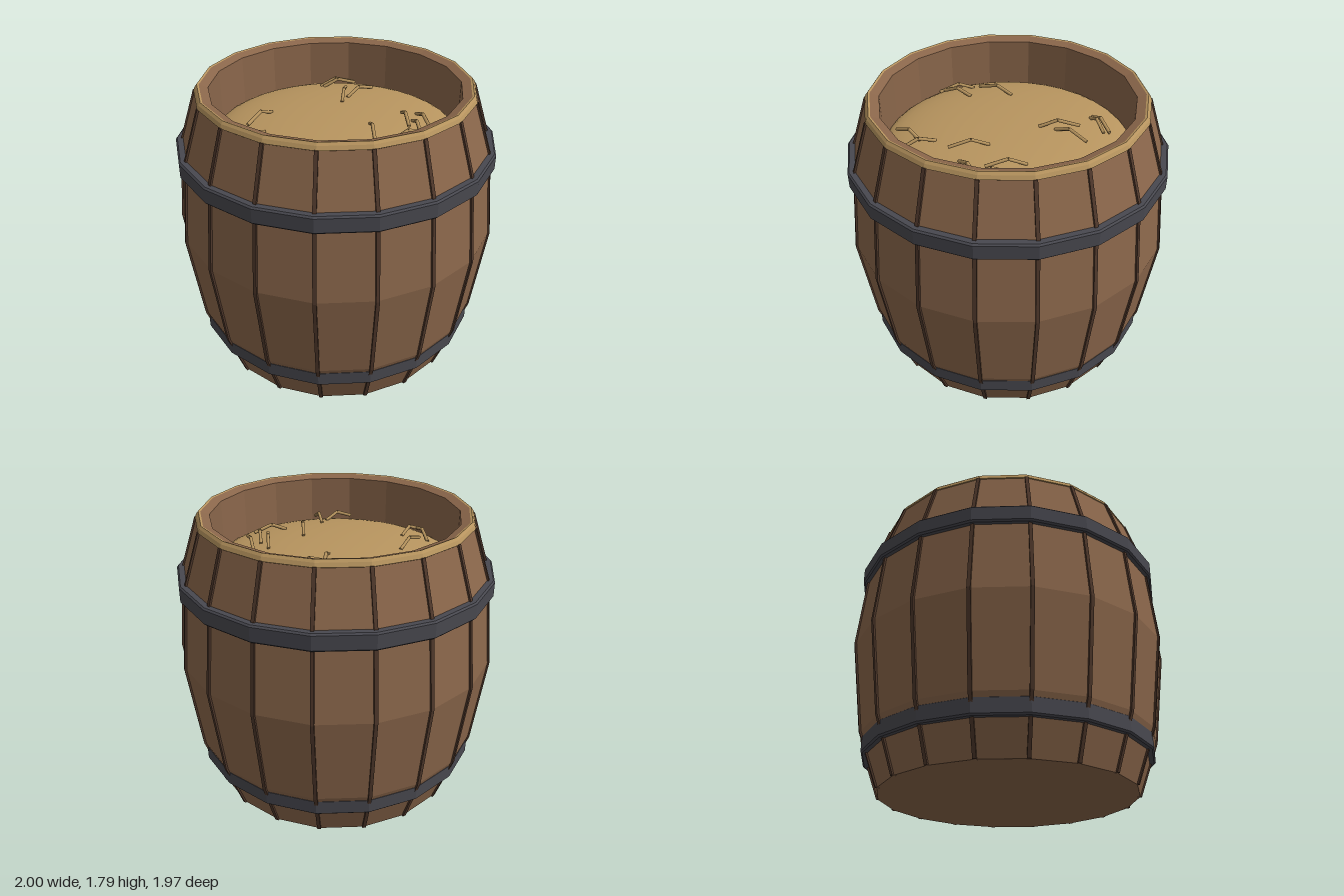
import * as THREE from 'three';

const SIDES = 18;
const STEP = (Math.PI * 2) / SIDES;

// Faceted ring or shell from [radius, y] points, listed counterclockwise
function facetedLathe(points) {
  const indexed = new THREE.LatheGeometry(points.map(([r, y]) => new THREE.Vector2(r, y)), SIDES, STEP / 2);
  const geometry = indexed.toNonIndexed();
  geometry.computeVertexNormals();
  return geometry;
}

export function createModel() {
  const wood = new THREE.MeshStandardMaterial({ color: 0x8b674b });
  const seamWood = new THREE.MeshStandardMaterial({ color: 0x4f382b });
  const iron = new THREE.MeshStandardMaterial({ color: 0x48484f });
  const straw = new THREE.MeshStandardMaterial({ color: 0xb8955f });

  const model = new THREE.Group();
  model.name = 'barrel';
  const add = (geometry, material, name, parent = model) => {
    const mesh = new THREE.Mesh(geometry, material);
    mesh.name = name;
    parent.add(mesh);
    return mesh;
  };

  // Bulging body with bottom, bevelled lip and inner wall
  const side = [[0.795, 0], [0.915, 0.33], [0.99, 0.9], [0.935, 1.45], [0.835, 1.755]];
  add(facetedLathe([[0, 0], ...side, [0.815, 1.787], [0.755, 1.768], [0.755, 1.38]]), wood, 'body');

  // Pale trim around the top edge
  add(facetedLathe([[0.835, 1.747], [0.842, 1.752], [0.832, 1.775], [0.82, 1.79], [0.808, 1.786]]),
    straw, 'rimTrim');

  // Iron hoops with small bevels
  const hoop = (r, y0, y1, inner, name) => add(facetedLathe([
    [inner, y0], [r - 0.01, y0], [r, y0 + 0.01], [r, y1 - 0.01], [r - 0.01, y1], [inner, y1],
  ]), iron, name);
  hoop(0.905, 0.2, 0.307, 0.83, 'lowerHoop');
  hoop(0.98, 1.34, 1.446, 0.9, 'upperHoop');

  // Dark seams between the staves
  const outline = [
    ...side.map(([r, y]) => new THREE.Vector2(r + 0.01, y)),
    ...side.map(([r, y]) => new THREE.Vector2(r - 0.02, y)).reverse(),
  ];
  const seamGeometry = new THREE.ExtrudeGeometry(new THREE.Shape(outline), { depth: 0.022, bevelEnabled: false });
  seamGeometry.translate(0, 0, -0.011);
  const seams = new THREE.Group();
  seams.name = 'staveSeams';
  model.add(seams);
  for (let i = 0; i < SIDES; i++) {
    add(seamGeometry, seamWood, 'staveSeam', seams).rotation.y = i * STEP;
  }

  // Low mound of straw inside
  const moundRadius = 0.752, moundBase = 1.45, moundHeight = 0.13;
  const mound = new THREE.SphereGeometry(1, 36, 12, 0, Math.PI * 2, 0, Math.PI / 2);
  mound.scale(moundRadius, moundHeight, moundRadius);
  mound.translate(0, moundBase, 0);
  add(mound, straw, 'strawMound');
  const moundY = (x, z) =>
    moundBase + moundHeight * Math.sqrt(Math.max(0, 1 - (x * x + z * z) / moundRadius ** 2));

  // Loose bent stalks: x, z of both ends
  const stalks = [
    [-0.07, -0.545, 0.15, -0.59], [-0.05, -0.525, 0.16, -0.55], [0.05, -0.18, 0.09, -0.42],
    [0.09, -0.27, 0.26, -0.42], [-0.39, -0.09, -0.53, 0.1], [-0.59, 0.13, -0.54, 0.36],
    [-0.43, 0.17, -0.56, 0.35], [0.41, -0.04, 0.42, 0.2], [0.5, -0.04, 0.55, 0.2],
    [0.46, 0.07, 0.48, 0.3], [0.31, 0.33, 0.51, 0.25], [0.195, 0.14, 0.2, 0.38],
    [0.07, 0.44, 0.11, 0.67], [0.04, 0.53, -0.13, 0.66],
  ];
  const up = new THREE.Vector3(0, 1, 0);
  const looseStraw = new THREE.Group();
  looseStraw.name = 'looseStraw';
  model.add(looseStraw);
  const stick = (a, b) => {
    const direction = b.clone().sub(a);
    const mesh = add(new THREE.CylinderGeometry(0.011, 0.011, direction.length(), 6), straw, 'stalk', looseStraw);
    mesh.position.copy(a).add(b).multiplyScalar(0.5);
    mesh.quaternion.setFromUnitVectors(up, direction.normalize());
  };
  for (const [x0, z0, x1, z1] of stalks) {
    const start = new THREE.Vector3(x0, moundY(x0, z0), z0);
    const end = new THREE.Vector3(x1, moundY(x1, z1) + 0.025, z1);
    const bend = start.clone().lerp(end, 0.45);
    bend.y = moundY(bend.x, bend.z) + 0.05;
    stick(start, bend);
    stick(bend, end);
  }

  return model;
}
